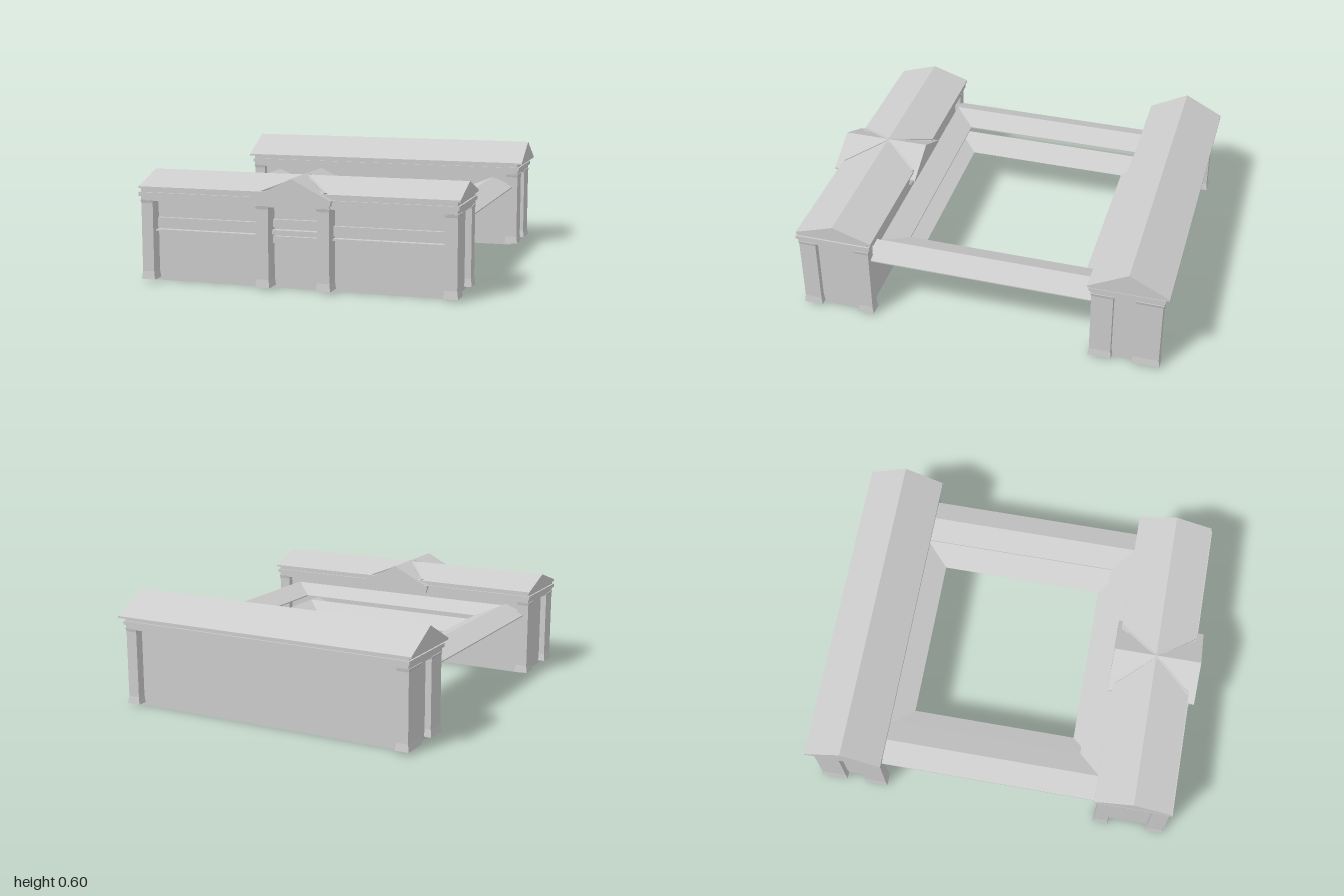
import * as THREE from 'three';

const mat = new THREE.MeshStandardMaterial({ color: 0xcccccc, flatShading: true, side: THREE.DoubleSide });

function add(parent, name, geometry) {
  const mesh = new THREE.Mesh(geometry, mat);
  mesh.name = name;
  parent.add(mesh);
  return mesh;
}

// Box given by its limits on each axis
function box(parent, name, x0, x1, y0, y1, z0, z1) {
  const mesh = add(parent, name, new THREE.BoxGeometry(x1 - x0, y1 - y0, z1 - z0));
  mesh.position.set((x0 + x1) / 2, (y0 + y1) / 2, (z0 + z1) / 2);
  return mesh;
}

// Box whose top and bottom grow outwards by different amounts
function flare(parent, name, x0, x1, y0, y1, z0, z1, growBottom, growTop) {
  const mesh = box(parent, name, x0, x1, y0, y1, z0, z1);
  const p = mesh.geometry.attributes.position;
  for (let i = 0; i < p.count; i++) {
    const g = p.getY(i) > 0 ? growTop : growBottom;
    p.setX(i, p.getX(i) + Math.sign(p.getX(i)) * g);
    p.setZ(i, p.getZ(i) + Math.sign(p.getZ(i)) * g);
  }
  mesh.geometry.computeVertexNormals();
}

// Square pillar with flared foot and capital
function pillar(parent, name, x0, x1, z0, z1) {
  const g = new THREE.Group();
  g.name = name;
  flare(g, 'foot', x0, x1, 0.015, 0.055, z0, z1, 0.006, 0);
  box(g, 'shaft', x0, x1, 0.055, 0.408, z0, z1);
  flare(g, 'capital', x0, x1, 0.408, 0.425, z0, z1, 0, 0.004);
  parent.add(g);
}

// Gable roof with a small upright fascia, ridge along z
function gable(parent, name, halfWidth, eave, ridge, length, fascia) {
  const s = new THREE.Shape();
  s.moveTo(-halfWidth, eave - fascia);
  s.lineTo(halfWidth, eave - fascia);
  s.lineTo(halfWidth, eave);
  s.lineTo(0, ridge);
  s.lineTo(-halfWidth, eave);
  s.closePath();
  const geo = new THREE.ExtrudeGeometry(s, { depth: length, bevelEnabled: false });
  geo.translate(0, 0, -length / 2);
  return add(parent, name, geo);
}

// Stepped cornice around a rectangular block
function cornice(parent, halfX, z0, z1, steps) {
  for (const [y0, y1, out] of steps) {
    box(parent, 'cornice', -halfX - out, halfX + out, y0, y1, z0 - out, z1 + out);
  }
}

// Thin surface made of four-cornered panels
function panels(parent, name, quads) {
  const pos = [];
  for (const [a, b, c, d] of quads) pos.push(...a, ...b, ...c, ...a, ...c, ...d);
  const geo = new THREE.BufferGeometry();
  geo.setAttribute('position', new THREE.Float32BufferAttribute(pos, 3));
  geo.computeVertexNormals();
  add(parent, name, geo);
}

// Long hall: recessed walls open below, corner pillars, cornice and gable roof
function hall(name, z0, z1, wall0, wall1, frontDepth, backDepth, roof) {
  const g = new THREE.Group();
  g.name = name;
  const corners = [[-0.79, wall1], [0.79, wall1], [0.79, wall0], [-0.79, wall0]];
  panels(g, 'walls', corners.map(([xa, za], i) => {
    const [xb, zb] = corners[(i + 1) % 4];
    return [[xa, 0, za], [xb, 0, zb], [xb, 0.425, zb], [xa, 0.425, za]];
  }));
  for (const s of [-1, 1]) {
    const x0 = s < 0 ? -0.823 : 0.76;
    const x1 = s < 0 ? -0.76 : 0.823;
    pillar(g, 'cornerPillar', x0, x1, z1 - frontDepth, z1);
    pillar(g, 'cornerPillar', x0, x1, z0, z0 + backDepth);
  }
  cornice(g, 0.82, z0, z1, [[0.42, 0.445, 0.003], [0.445, 0.465, 0.012], [0.465, 0.485, 0.003]]);
  const r = gable(g, 'roof', roof.half, 0.493, roof.ridge, roof.halfLength * 2, 0.01);
  r.rotation.y = Math.PI / 2;
  r.position.z = roof.z;
  return g;
}

export function createModel() {
  const model = new THREE.Group();
  model.name = 'courtyardBuilding';

  const front = hall('frontHall', 0.575, 0.957, 0.61, 0.89, 0.09, 0.075,
    { half: 0.205, ridge: 0.56, halfLength: 0.835, z: 0.757 });
  const back = hall('backHall', -0.968, -0.605, -0.92, -0.64, 0.112, 0.134,
    { half: 0.206, ridge: 0.6, halfLength: 0.85, z: -0.794 });
  model.add(front, back);

  // Bands and ledges on the front wall
  for (const s of [-1, 1]) {
    const span = (a, b) => (s < 0 ? [-b, -a] : [a, b]);
    box(front, 'wallBand', ...span(0.15, 0.755), 0.28, 0.33, 0.885, 0.91);
    box(front, 'wallLedge', ...span(0.15, 0.775), 0.26, 0.27, 0.885, 0.925);
  }
  box(front, 'entranceBand', -0.13, 0.13, 0.31, 0.35, 0.885, 0.91);
  box(front, 'entranceLedge', -0.13, 0.13, 0.275, 0.298, 0.885, 0.925);
  box(front, 'entranceLowerBand', -0.13, 0.13, 0.23, 0.265, 0.885, 0.91);

  // Porch with two pillars and a cross gable
  const porch = new THREE.Group();
  porch.name = 'porch';
  model.add(porch);
  pillar(porch, 'porchPillar', -0.19, -0.127, 0.89, 0.978);
  pillar(porch, 'porchPillar', 0.127, 0.19, 0.89, 0.978);
  cornice(porch, 0.188, 0.56, 0.978, [[0.42, 0.44, 0.002], [0.44, 0.455, 0.012]]);
  gable(porch, 'crossGable', 0.205, 0.465, 0.567, 0.47, 0.01).position.z = 0.765;

  // Ribs along the valleys between the crossing roofs
  for (const sx of [-1, 1]) {
    for (const sz of [-1, 1]) {
      const top = new THREE.Vector3(0, 0.56, 0.757);
      const end = new THREE.Vector3(sx * 0.165, 0.495, 0.757 + sz * 0.2);
      const rib = add(porch, 'valleyRib', new THREE.BoxGeometry(0.016, 0.012, top.distanceTo(end)));
      rib.position.copy(top).lerp(end, 0.5);
      rib.lookAt(end);
    }
  }

  // Covered walks: gabled sides joined along the front hall
  const walk = [];
  for (const s of [-1, 1]) {
    const ridgeB = [s * 0.67, 0.4, -0.64];
    const ridgeF = [s * 0.67, 0.4, 0.56];
    const inB = [s * 0.55, 0.352, -0.64];
    const inF = [s * 0.55, 0.352, 0.44];
    const outB = [s * 0.793, 0.352, -0.64];
    const outF = [s * 0.793, 0.352, 0.61];
    const low = ([x, y, z]) => [x, y - 0.006, z];
    walk.push([outB, outF, [s * 0.67, 0.4, 0.61], ridgeB]);
    walk.push([ridgeB, ridgeF, inF, inB]);
    walk.push([outB, outF, low(outF), low(outB)], [inB, inF, low(inF), low(inB)]);
  }
  walk.push([[-0.67, 0.4, 0.56], [0.67, 0.4, 0.56], [0.55, 0.352, 0.44], [-0.55, 0.352, 0.44]]);
  walk.push([[-0.55, 0.352, 0.44], [0.55, 0.352, 0.44], [0.55, 0.346, 0.44], [-0.55, 0.346, 0.44]]);
  panels(model, 'walkRoof', walk);

  // Lower sloping canopies, crossing each other at the courtyard corners
  const sides = [-1, 1].map((s) => [
    [s * 0.57, 0.306, -0.64], [s * 0.57, 0.306, 0.61], [s * 0.44, 0.25, 0.61], [s * 0.44, 0.25, -0.64],
  ]);
  const ends = [[0.39, 0.52], [-0.5, -0.63]].map(([zLow, zHigh]) => [
    [-0.57, 0.306, zHigh], [0.57, 0.306, zHigh], [0.57, 0.25, zLow], [-0.57, 0.25, zLow],
  ]);
  panels(model, 'lowerCanopy', [...sides, ...ends]);

  return model;
}
